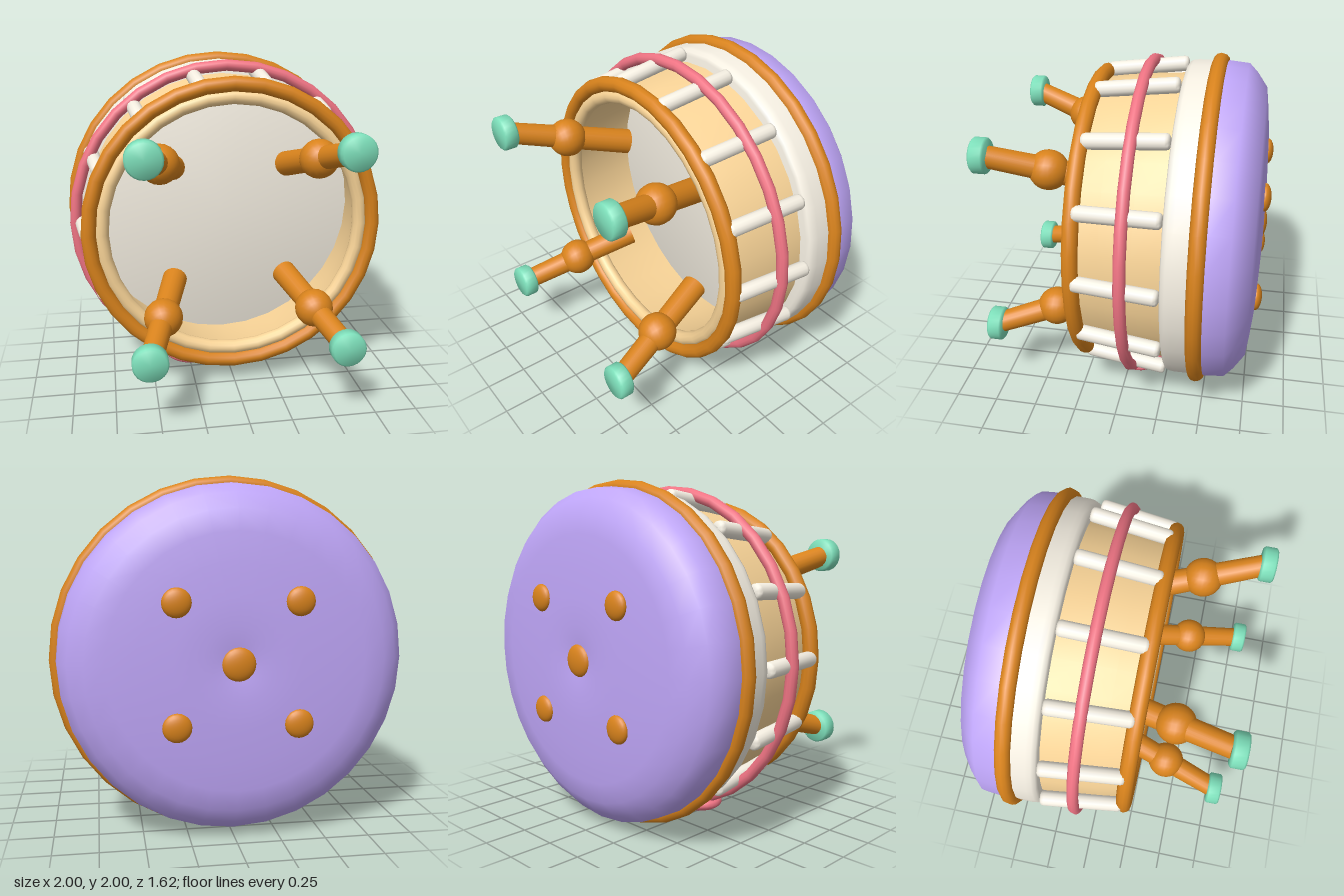
import * as THREE from 'three';
import { toCreasedNormals } from 'three/addons/utils/BufferGeometryUtils.js';

const SEG = 32;
const mat = (color) => new THREE.MeshStandardMaterial({ color });
const WOOD = mat(0xd9831c), TAN = mat(0xfad598), CREAM = mat(0xf5efe2);
const PINK = mat(0xf07484), PURPLE = mat(0xbfa6f8), MINT = mat(0x7ee0bb);

function add(parent, name, geometry, material) {
  const mesh = new THREE.Mesh(geometry, material);
  mesh.name = name;
  parent.add(mesh);
  return mesh;
}

// Turned solid from [radius, height] pairs, running up the outside
function lathe(points, seg = SEG, crease = 0.9) {
  const g = new THREE.LatheGeometry(points.map(([r, y]) => new THREE.Vector2(r, y)), seg);
  return toCreasedNormals(g, crease);
}

function hoop(parent, name, radius, tube, height, material) {
  const g = new THREE.TorusGeometry(radius, tube, 12, SEG);
  g.rotateX(Math.PI / 2);
  add(parent, name, g, material).position.y = height;
}

// Stand a geometry built along y, centred on 0, between two points
function place(mesh, a, b) {
  mesh.position.copy(a).lerp(b, 0.5);
  mesh.quaternion.setFromUnitVectors(new THREE.Vector3(0, 1, 0), b.clone().sub(a).normalize());
  return mesh;
}

function ellipsoid(parent, name, center, size, material) {
  const mesh = add(parent, name, new THREE.SphereGeometry(1, 20, 14), material);
  mesh.position.set(...center);
  mesh.scale.set(...size);
  return mesh;
}

export function createModel() {
  const model = new THREE.Group();
  model.name = 'footstool';

  // The stool is built upright, then laid on its side
  const stool = new THREE.Group();
  stool.name = 'stool';
  stool.rotation.x = -Math.PI / 2;
  stool.position.y = 1;
  model.add(stool);

  // Thin flared drum wall, open below, with a rounded lip
  add(stool, 'drumWall', lathe([
    [0.855, 0.3], [0.84, 0.12], [0.815, -0.06], [0.79, -0.2],
    [0.83, -0.2], [0.85, -0.06], [0.868, 0.12], [0.88, 0.3],
  ]), TAN);
  hoop(stool, 'drumLip', 0.788, 0.042, -0.19, TAN);
  hoop(stool, 'baseRing', 0.864, 0.045, -0.207, WOOD);

  // Seat band, whose underside closes the drum, then rim and cushion
  add(stool, 'seatBand', lathe([
    [0, 0.28], [0.92, 0.28], [0.942, 0.288], [0.953, 0.31], [0.957, 0.34], [0.957, 0.48], [0, 0.48],
  ], SEG, 1.2), CREAM);
  hoop(stool, 'seatRim', 0.955, 0.045, 0.465, WOOD);
  add(stool, 'cushion', lathe([
    [0, 0.47], [0.955, 0.47], [0.96, 0.52], [0.95, 0.63], [0.9, 0.68], [0.815, 0.742],
    [0.7, 0.758], [0.55, 0.774], [0.35, 0.783], [0.2, 0.788], [0.1, 0.778], [0, 0.765],
  ], SEG, 1), PURPLE);

  // Tufting buttons
  ellipsoid(stool, 'centerButton', [0, 0.772, 0], [0.093, 0.037, 0.093], WOOD);
  for (const x of [-1, 1]) for (const z of [-1, 1]) {
    ellipsoid(stool, 'button', [0.33 * x, 0.778, 0.33 * z], [0.08, 0.036, 0.08], WOOD);
  }

  // Slats around the drum
  const slat = lathe([
    [0, -0.24], [0.03, -0.24], [0.041, -0.232], [0.045, -0.218],
    [0.045, 0.218], [0.041, 0.232], [0.03, 0.24], [0, 0.24],
  ], 14);
  for (let i = 0; i < 14; i++) {
    const a = (i / 14) * Math.PI * 2;
    const at = (r, y) => new THREE.Vector3(r * Math.cos(a), y, r * Math.sin(a));
    place(add(stool, 'slat', slat, CREAM), at(0.87, -0.2), at(0.93, 0.28));
  }

  // Ribbon hoop and bow
  hoop(stool, 'ribbon', 0.945, 0.034, 0.075, PINK);
  for (const s of [-1, 1]) {
    ellipsoid(stool, 'bowLoop', [0.222 * s, 0.07, -0.922], [0.186, 0.147, 0.06], PINK);
  }
  ellipsoid(stool, 'bowKnot', [0, 0.07, -0.925], [0.08, 0.09, 0.065], WOOD);

  // Splayed legs with a turned ball and a capped foot
  const foot = lathe([
    [0, -0.043], [0.09, -0.043], [0.101, -0.032], [0.101, 0.032], [0.09, 0.043], [0, 0.043],
  ], 24);
  for (const x of [-1, 1]) for (const z of [-1, 1]) {
    const leg = new THREE.Group();
    leg.name = 'leg';
    stool.add(leg);
    const low = new THREE.Vector3(0.548 * x, -0.74, 0.552 * z);
    const high = new THREE.Vector3(0.35 * x, -0.05, 0.355 * z);
    const shaft = new THREE.CylinderGeometry(0.076, 0.063, low.distanceTo(high), 20);
    place(add(leg, 'legShaft', shaft, WOOD), low, high);
    ellipsoid(leg, 'legBall', [0.453 * x, -0.415, 0.457 * z], [0.114, 0.114, 0.114], WOOD);
    add(leg, 'footCap', foot, MINT).position.set(0.555 * x, -0.764, 0.56 * z);
  }
  return model;
}
